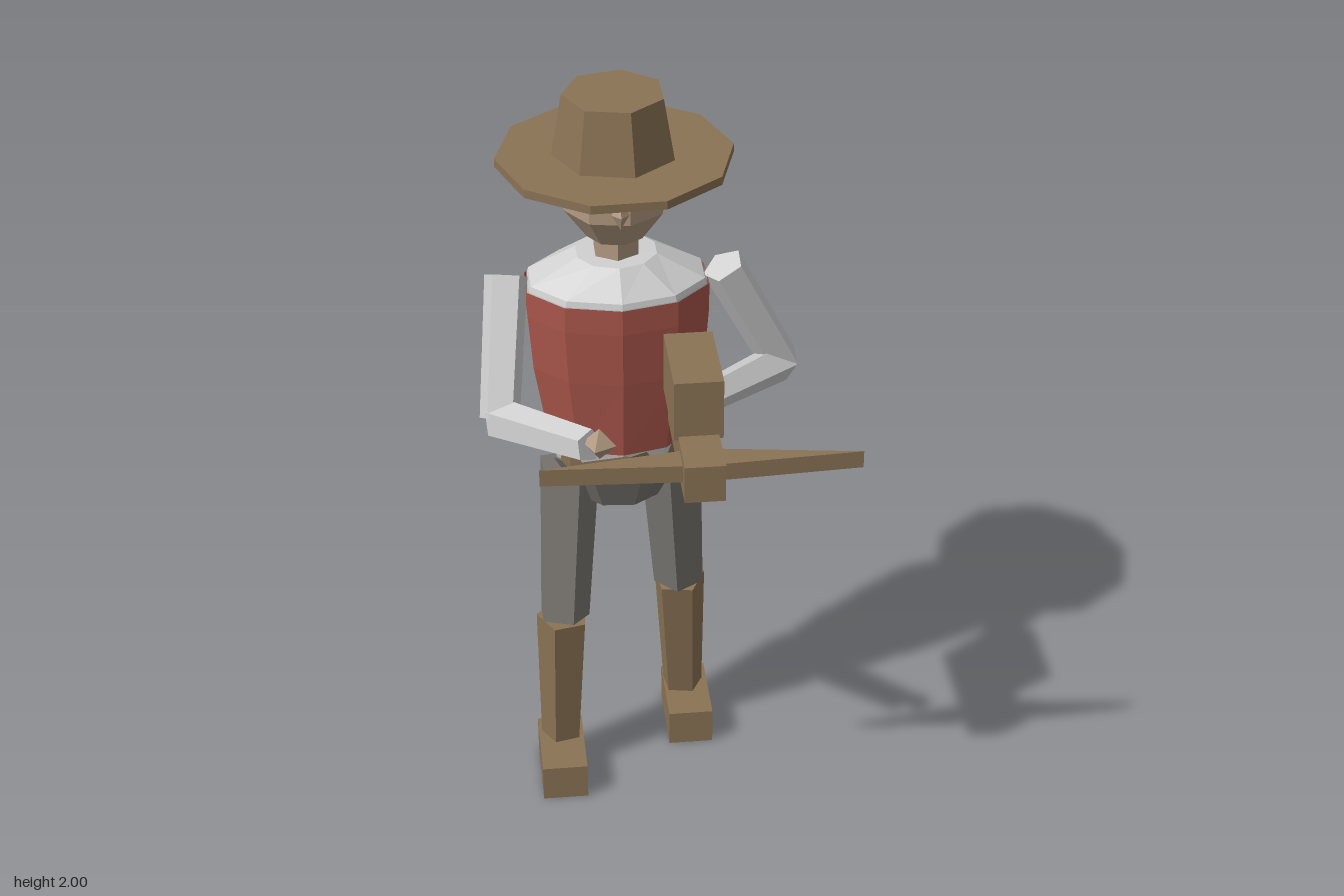
import * as THREE from 'three';

const material = (name, color, side = THREE.FrontSide) =>
  Object.assign(new THREE.MeshStandardMaterial({ color, side }), { name });

export function createModel() {
  const group = new THREE.Group();
  group.name = 'hatted crossbow figure';
  const brown = material('brown leather and wood', 0x8b7355);
  const white = material('shirt white', 0xd0d0d0);
  const red = material('vest red', 0xaa564b, THREE.DoubleSide);
  const grey = material('trouser grey', 0x7a7772);
  const skin = material('skin', 0xb29a82);

  // The body faces a little towards its left
  const body = new THREE.Group();
  body.name = 'body';
  body.position.set(-0.19, 0, -0.145);
  body.rotation.y = THREE.MathUtils.degToRad(20);
  group.add(body);

  const add = (parent, name, geometry, mat, x = 0, y = 0, z = 0) => {
    const flat = geometry.index ? geometry.toNonIndexed() : geometry;
    flat.computeVertexNormals();
    const mesh = new THREE.Mesh(flat, mat);
    mesh.name = name;
    mesh.position.set(x, y, z);
    parent.add(mesh);
    return mesh;
  };

  // Oval stack of rings: each is [y, half width, half depth]
  const rings = (list, sides, from = 0, sweep = Math.PI * 2, grow = 1) => {
    const pos = [], index = [];
    for (const [y, w, d] of list)
      for (let i = 0; i <= sides; i++) {
        const a = from + (sweep * i) / sides;
        pos.push(Math.sin(a) * w * grow, y, Math.cos(a) * d * grow);
      }
    for (let r = 0; r < list.length - 1; r++)
      for (let i = 0; i < sides; i++) {
        const p = r * (sides + 1) + i, q = p + sides + 1;
        index.push(p, p + 1, q + 1, p, q + 1, q);
      }
    const g = new THREE.BufferGeometry();
    g.setAttribute('position', new THREE.Float32BufferAttribute(pos, 3));
    g.setIndex(index);
    return g;
  };

  // Tapered limb between two points
  const limb = (name, a, b, r0, r1, mat, sides = 5) => {
    const p = new THREE.Vector3(...a), q = new THREE.Vector3(...b);
    const dir = q.clone().sub(p);
    const mesh = add(group, name, new THREE.CylinderGeometry(r1, r0, dir.length(), sides), mat);
    mesh.position.copy(p).add(q).multiplyScalar(0.5);
    mesh.quaternion.setFromUnitVectors(new THREE.Vector3(0, 1, 0), dir.normalize());
  };

  // Hat
  const brim = add(body, 'hatBrim', new THREE.CylinderGeometry(0.295, 0.295, 0.022, 10), brown, 0, 1.831, 0);
  brim.rotation.y = THREE.MathUtils.degToRad(-16);
  const crown = add(body, 'hatCrown', new THREE.CylinderGeometry(0.128, 0.156, 0.16, 7), brown, 0, 1.92, 0);
  crown.rotation.y = THREE.MathUtils.degToRad(168);

  // Head
  add(body, 'head', rings([[1.615, 0, 0], [1.62, 0.075, 0.075], [1.7, 0.132, 0.128], [1.825, 0.13, 0.126]], 8, 0.2), skin);
  const nose = add(body, 'nose', new THREE.OctahedronGeometry(0.022), skin, 0, 1.745, 0.152);
  nose.scale.y = 1.8;
  add(body, 'neck', new THREE.CylinderGeometry(0.062, 0.062, 0.09, 6), skin, 0, 1.6, 0);

  // Shirt, with an open-backed vest over it
  const side = THREE.MathUtils.degToRad(108);
  const chest = [[1.05, 0.188, 0.143], [1.27, 0.224, 0.162], [1.42, 0.235, 0.17], [1.49, 0.235, 0.17]];
  add(body, 'shirt', rings([[0.985, 0.172, 0.132], ...chest, [1.505, 0.23, 0.166],
    [1.57, 0.105, 0.1], [1.572, 0, 0]], 10), white);
  add(body, 'vest', rings(chest, 6, -side, side * 2, 1.025), red);
  add(body, 'vestBackBand', rings([[1.465, 0.235, 0.17], [1.49, 0.235, 0.17]], 4, side,
    Math.PI * 2 - side * 2, 1.02), red);
  for (const s of [-1, 1]) {
    const at = (deg, y) => {
      const a = THREE.MathUtils.degToRad(deg);
      return new THREE.Vector3(s * Math.sin(a) * 0.24, y, Math.cos(a) * 0.174);
    };
    const flap = new THREE.BufferGeometry().setFromPoints(s > 0
      ? [at(108, 1.47), at(144, 1.38), at(144, 1.47)]
      : [at(108, 1.47), at(144, 1.47), at(144, 1.38)]);
    add(body, 'vestBackFlap', flap, red);
  }

  // Belt corners poke through the shirt tail
  add(body, 'belt', rings([[0.985, 0.187, 0.145], [1.045, 0.19, 0.148]], 7, 0.1), brown);
  add(body, 'hips', rings([[0.85, 0, 0], [0.855, 0.11, 0.09], [0.99, 0.182, 0.14], [0.995, 0, 0]], 8, 0.3), grey);

  // Legs in mid stride: hip, knee, ankle
  const legs = [
    ['right', [-0.315, 0.95, -0.09], [-0.313, 0.515, -0.005], [-0.33, 0.09, -0.018], [-0.315, 0.035]],
    ['left', [-0.065, 0.95, -0.21], [-0.055, 0.515, -0.255], [-0.06, 0.09, -0.315], [-0.038, -0.28]],
  ];
  for (const [s, hip, knee, ankle, foot] of legs) {
    limb(s + 'Thigh', hip, knee, 0.084, 0.07, grey);
    limb(s + 'Gaiter', knee, ankle, 0.072, 0.057, brown);
    const boot = add(group, s + 'Boot', new THREE.BoxGeometry(0.122, 0.104, 0.222), brown, foot[0], 0.052, foot[1]);
    boot.rotation.y = body.rotation.y;
  }

  // Arms: shoulder, elbow, wrist, hand
  const arms = [
    ['right', [-0.452, 1.51, -0.055], [-0.425, 1.2, 0.125], [-0.14, 1.275, 0.305], [-0.115, 1.285, 0.305]],
    ['left', [0.065, 1.51, -0.235], [0.2, 1.195, -0.33], [0.065, 1.23, -0.05], [0.045, 1.23, 0]],
  ];
  for (const [s, shoulder, elbow, wrist, hand] of arms) {
    limb(s + 'UpperArm', shoulder, elbow, 0.057, 0.053, white);
    limb(s + 'Forearm', elbow, wrist, 0.053, 0.042, white);
    add(group, s + 'Hand', new THREE.OctahedronGeometry(0.043), skin, ...hand);
  }

  // Crossbow
  add(body, 'crossbowStock', new THREE.BoxGeometry(0.1, 0.1, 0.38), brown, 0.16, 1.23, 0.38);
  add(body, 'crossbowBox', new THREE.BoxGeometry(0.122, 0.16, 0.24), brown, 0.16, 1.35, 0.31);
  const bow = new THREE.Shape([[-0.394, 0], [0, -0.022], [0.394, 0], [0, 0.056]]
    .map(([x, y]) => new THREE.Vector2(x, y)));
  const bowGeometry = new THREE.ExtrudeGeometry(bow, { depth: 0.046, bevelEnabled: false });
  bowGeometry.rotateX(-Math.PI / 2);
  add(body, 'crossbowLimbs', bowGeometry, brown, 0.16, 1.213, 0.51);

  return group;
}
